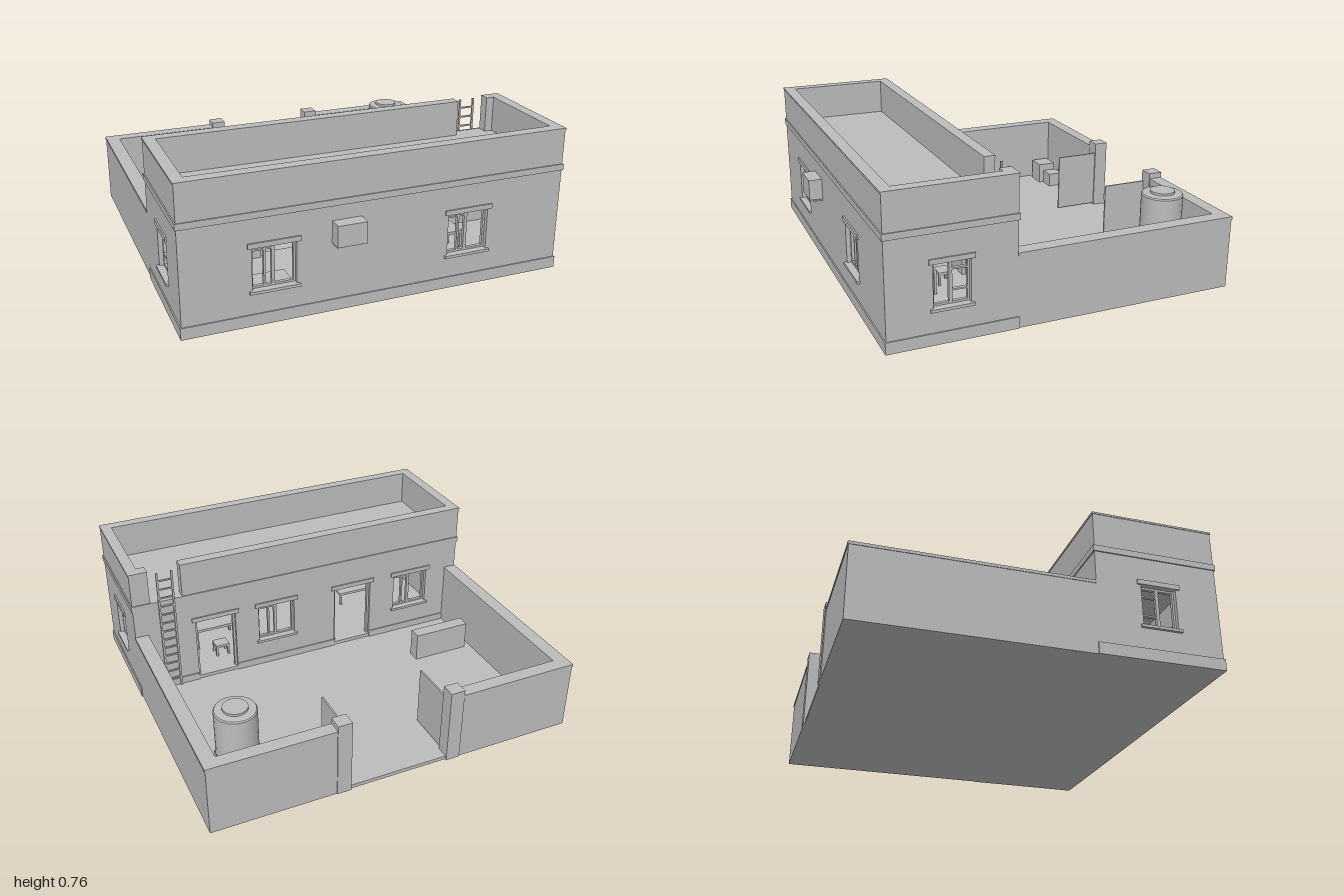
import * as THREE from 'three';

export function createModel() {
  const house = new THREE.Group();
  house.name = 'courtyardHouse';
  const plaster = new THREE.MeshStandardMaterial({ color: 0xbcbcbc });
  plaster.name = 'grey plaster';

  function add(name, geometry, parent = house) {
    const mesh = new THREE.Mesh(geometry, plaster);
    mesh.name = name;
    parent.add(mesh);
    return mesh;
  }
  // box given by its minimum and maximum on each axis
  function box(name, x0, x1, y0, y1, z0, z1, parent) {
    const g = new THREE.BoxGeometry(x1 - x0, y1 - y0, z1 - z0);
    g.translate((x0 + x1) / 2, (y0 + y1) / 2, (z0 + z1) / 2);
    return add(name, g, parent);
  }
  // upright wall in the xy plane, holes as [x0, x1, y0, y1]
  function wall(name, outline, holes, depth) {
    const shape = new THREE.Shape(outline.map(p => new THREE.Vector2(...p)));
    for (const [a, b, c, d] of holes) {
      shape.holes.push(new THREE.Path([[a, c], [a, d], [b, d], [b, c]].map(p => new THREE.Vector2(...p))));
    }
    return add(name, new THREE.ExtrudeGeometry(shape, { depth, bevelEnabled: false }));
  }

  const X = 0.983, Z0 = 0.23, Z1 = 0.863, T = 0.055, TOP = 0.75, DECK = 0.57;
  const Y0 = 0.18, Y1 = 0.395;
  const frontWindows = [-0.537, 0.462], backWindows = [-0.68, 0.175], doors = [-0.3, 0.535];
  const hw = 0.108, doorHalf = 0.115;
  const holeAt = c => [c - hw, c + hw, Y0, Y1];
  const doorHole = c => [c - doorHalf, c + doorHalf, 0.04, Y1];

  // house walls; the back parapet is notched for the ladder
  const xi = X - T;
  wall('frontWall', [[-xi, 0], [xi, 0], [xi, TOP], [-xi, TOP]], frontWindows.map(holeAt), T)
    .position.z = Z1 - T;
  wall('backWall', [[-xi, 0], [xi, 0], [xi, TOP], [0.885, TOP], [0.885, DECK], [0.71, DECK], [0.71, TOP], [-xi, TOP]],
    [...backWindows.map(holeAt), ...doors.map(doorHole)], T).position.z = Z0;
  const sideZ = 0.55, sideHalf = 0.09;
  for (const s of [-1, 1]) {
    const w = wall('sideWall', [[-Z1, 0], [-Z0, 0], [-Z0, TOP], [-Z1, TOP]],
      [[-sideZ - sideHalf, -sideZ + sideHalf, Y0, Y1]], T);
    w.rotation.y = Math.PI / 2;
    w.position.x = s > 0 ? xi : -X;
  }

  // floors, roof deck and the partition between the two rooms
  box('yardFloor', -X, X, 0, 0.02, -0.925, Z0);
  box('houseFloor', -xi, xi, 0, 0.04, Z0 + T, Z1 - T);
  box('roofDeck', -xi, xi, 0.53, DECK, Z0 + T, Z1 - T);
  box('partition', -0.1, -0.06, 0.04, 0.53, Z0 + T, 0.52);
  box('partitionHead', -0.1, -0.06, Y1, 0.53, 0.52, Z1 - T);

  // parapet coping
  const e = 0.003;
  box('frontCoping', -X - e, X + e, TOP, 0.76, Z1 - T, Z1 + e);
  box('backCoping', -X - e, 0.71, TOP, 0.76, Z0 - e, Z0 + T);
  box('backCopingEnd', 0.885, X + e, TOP, 0.76, Z0 - e, Z0 + T);
  for (const s of [-1, 1]) {
    const a = s > 0 ? xi : -X - e;
    box('sideCoping', a, a + T + e, TOP, 0.76, Z0 + T, Z1 - T);
  }

  // cornice band and plinth, broken at the doors
  const c = 0.006;
  box('frontCornice', -X - c, X + c, 0.54, 0.572, Z1, Z1 + c);
  box('backCornice', -X - c, X + c, 0.54, 0.572, Z0 - c, Z0);
  box('frontPlinth', -X - c, X + c, 0, 0.06, Z1, Z1 + c);
  for (const s of [-1, 1]) {
    const a = s > 0 ? X : -X - c;
    box('sideCornice', a, a + c, 0.54, 0.572, Z0 - c, Z1);
    box('sidePlinth', a, a + c, 0, 0.06, Z0 - c, Z1);
  }
  for (const [a, b] of [[-0.915, -0.415], [-0.185, 0.42], [0.65, 0.915]]) {
    box('backPlinth', a, b, 0, 0.06, Z0 - c, Z0);
  }

  // window in a local frame: outside faces +z, wall face at z = 0
  function windowUnit(name, half, bars) {
    const g = new THREE.Group();
    g.name = name;
    const f = 0.01, za = -0.04, zb = -0.022;
    box('lintel', -half - 0.02, half + 0.02, Y1, 0.42, 0, 0.008, g);
    box('sill', -half - 0.015, half + 0.015, 0.166, Y0, -0.03, 0.014, g);
    for (const s of [-1, 1]) {
      const a = s > 0 ? half - f : -half;
      box('jamb', a, a + f, Y0, Y1, za, zb, g);
    }
    box('frameTop', -half, half, Y1 - f, Y1, za, zb, g);
    box('frameBottom', -half, half, Y0, Y0 + f, za, zb, g);
    box('mullion', -0.008, 0.008, Y0, Y1, za, zb, g);
    const p = half * 0.38;
    if (bars) {
      for (const y of [0.245, 0.347]) box('glazingBar', 0, half, y - 0.004, y + 0.004, za, zb, g);
    } else {
      box('sashStile', -p - 0.005, -p + 0.005, Y0, Y1, za, zb, g);
      box('sashRail', -half, 0, 0.367, 0.375, za, zb, g);
    }
    house.add(g);
    return g;
  }
  for (const x of frontWindows) windowUnit('frontWindow', hw, false).position.set(x, 0, Z1);
  for (const x of backWindows) {
    const w = windowUnit('backWindow', hw, false);
    w.rotation.y = Math.PI;
    w.position.set(x, 0, Z0);
  }
  for (const s of [-1, 1]) {
    const w = windowUnit('sideWindow', sideHalf, true);
    w.rotation.y = s * Math.PI / 2;
    w.position.set(s * X, 0, sideZ);
    if (s < 0) w.scale.x = -1; // keeps the barred half toward the yard
  }

  // door surrounds
  for (const x of doors) {
    box('doorLintel', x - 0.135, x + 0.135, Y1, 0.42, Z0 - 0.008, Z0);
    for (const s of [-1, 1]) {
      const j = x + s * (doorHalf - 0.006);
      box('doorJamb', j - 0.006, j + 0.006, 0.04, Y1, Z0 + 0.015, Z0 + 0.035);
    }
    box('doorFrameTop', x - doorHalf, x + doorHalf, Y1 - 0.012, Y1, Z0 + 0.015, Z0 + 0.035);
  }

  // simple furniture
  function table(name, x0, x1, z0, z1, h) {
    const g = new THREE.Group();
    g.name = name;
    box('top', x0, x1, h - 0.015, h, z0, z1, g);
    for (const x of [x0, x1 - 0.012]) {
      for (const z of [z0, z1 - 0.012]) box('leg', x, x + 0.012, 0.04, h - 0.015, z, z + 0.012, g);
    }
    house.add(g);
  }
  table('table', 0.33, 0.58, 0.48, 0.62, 0.17);
  table('stool', 0.42, 0.5, 0.37, 0.44, 0.11);
  table('bed', -0.72, -0.4, 0.6, 0.79, 0.12);

  // yard walls with coping, gate pillars and open gate leaves
  const H = 0.365;
  for (const s of [-1, 1]) {
    const span = (a, b) => (s > 0 ? [a, b] : [-b, -a]);
    box('yardSideWall', ...span(0.917, X), 0, H, -0.93, Z0);
    box('yardSideCoping', ...span(0.913, X + e), H, 0.38, -0.933, Z0);
    box('yardRearWall', ...span(0.335, 0.917), 0, H, -0.93, -0.867);
    box('yardRearCoping', ...span(0.335, 0.913), H, 0.38, -0.933, -0.863);
    box('gatePillar', ...span(0.265, 0.34), 0, 0.41, -0.935, -0.86);
    box('gateLeaf', ...span(0.272, 0.281), 0.03, 0.35, -0.86, -0.62);
  }

  // ladder to the roof
  const ladder = new THREE.Group();
  ladder.name = 'ladder';
  for (const x of [0.755, 0.835]) box('rail', x, x + 0.01, 0.02, 0.745, 0.213, 0.223, ladder);
  for (let i = 0; i < 13; i++) {
    const y = 0.07 + i * 0.052;
    box('rung', 0.765, 0.835, y, y + 0.008, 0.214, 0.222, ladder);
  }
  house.add(ladder);

  // water tank on its base
  box('tankBase', 0.655, 0.835, 0.02, 0.18, -0.765, -0.585);
  const tank = [[0, 0.18], [0.105, 0.18], [0.105, 0.455], [0.1, 0.462], [0.062, 0.465], [0.062, 0.477], [0, 0.477]];
  const profile = tank.flatMap(p => [p, p]).map(p => new THREE.Vector2(...p));
  const tankGeometry = new THREE.LatheGeometry(profile.slice(1, -1), 28);
  add('waterTank', tankGeometry).position.set(0.745, 0, -0.675);

  // outdoor cooling unit on a bracket
  box('coolingUnit', -0.255, -0.107, 0.357, 0.466, Z1, 0.932);
  box('coolingBracket', -0.25, -0.112, 0.345, 0.353, Z1, 0.91);

  // yard bench and crates
  box('yardBench', -0.88, -0.555, 0.02, 0.18, -0.108, -0.038);
  box('largeCrate', -0.88, -0.77, 0.02, 0.14, -0.838, -0.735);
  box('smallCrate', -0.762, -0.675, 0.02, 0.1, -0.847, -0.76);

  return house;
}
